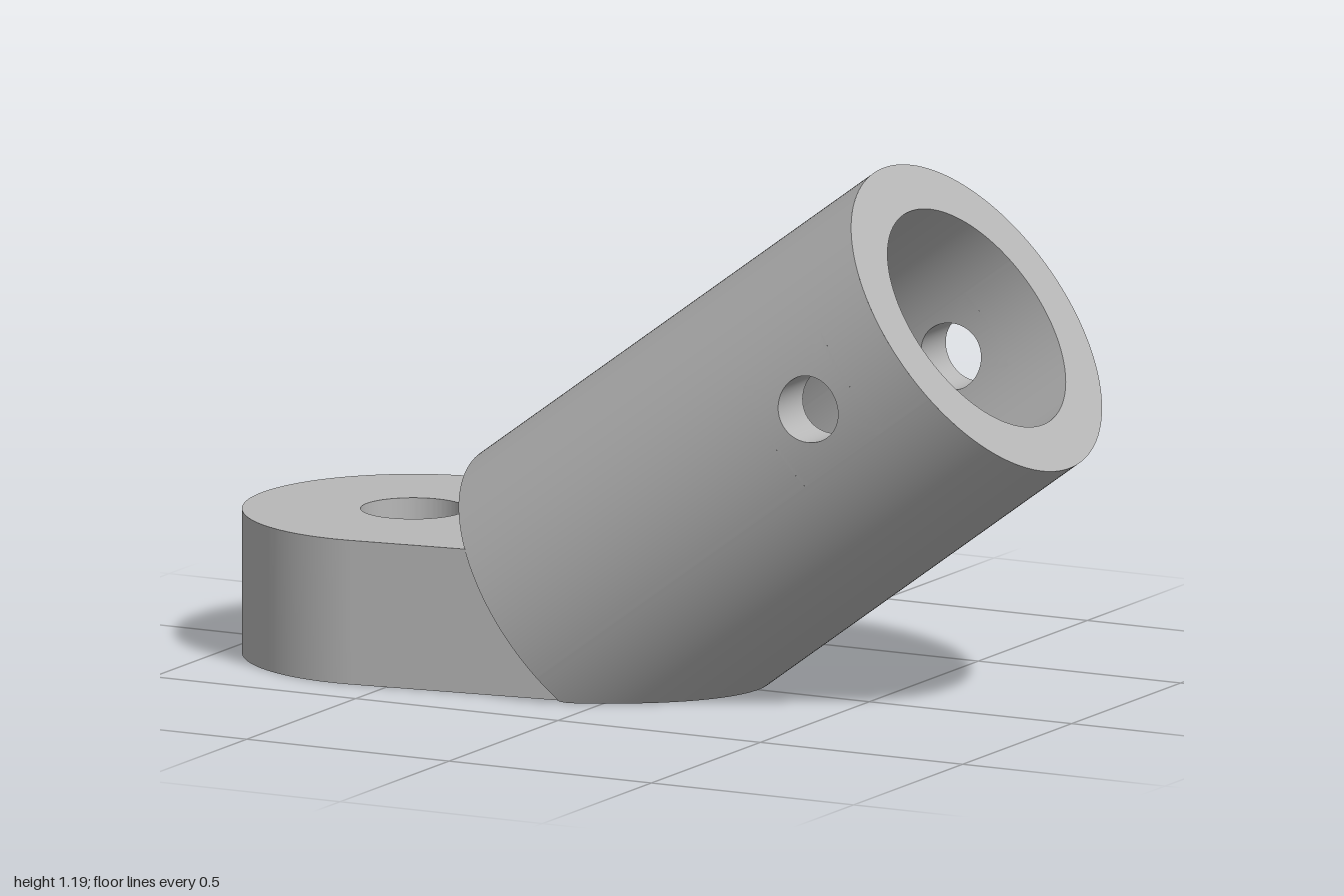
import * as THREE from 'three';
import { toCreasedNormals } from 'three/addons/utils/BufferGeometryUtils.js';

const TILT = 0.635;                    // slope of the socket
const LEN = 1.205, R = 0.387, BORE = 0.275, BORE_DEPTH = 0.9;
const CX = -0.205, CY = 0.1635;        // centre of the lower end
const PIN_A = 0.945, PIN_R = 0.074;    // cross hole position and radius
const PATCH_A = 0.12, PATCH_T = 0.35;  // half size of the wall patch around the cross hole

// Surface from a rule f(u, v) with u, v in 0..1
function surface(f, nu, nv, flip = false) {
  const pos = [], idx = [];
  for (let i = 0; i <= nu; i++) for (let j = 0; j <= nv; j++) pos.push(...f(i / nu, j / nv));
  for (let i = 0; i < nu; i++) for (let j = 0; j < nv; j++) {
    const a = i * (nv + 1) + j, b = a + nv + 1;
    if (flip) idx.push(a, b + 1, b, a, a + 1, b + 1);
    else idx.push(a, b, b + 1, a, b + 1, a + 1);
  }
  const g = new THREE.BufferGeometry();
  g.setAttribute('position', new THREE.Float32BufferAttribute(pos, 3));
  g.setIndex(idx);
  g.computeVertexNormals();
  return g;
}

const mix = THREE.MathUtils.lerp;
const onTube = (r, a, t) => [a, r * Math.sin(t), r * Math.cos(t)];

// Where the outer wall starts: the square end, or the flat cut at ground level
const cutStart = (t) => Math.max(0, -(CY + R * Math.sin(t) * Math.cos(TILT)) / Math.sin(TILT));

// Point on the rim of a cross hole
function pinRim(r, side, psi) {
  const t = side + Math.asin(PIN_R * Math.sin(psi) / r);
  return [PIN_A + PIN_R * Math.cos(psi), t];
}

export function createModel() {
  const grey = new THREE.MeshStandardMaterial({ color: 0xb8b8b8 });
  grey.name = 'grey';
  const model = new THREE.Group();
  model.name = 'angledSocketBracket';

  const add = (parent, name, geometry) => {
    const mesh = new THREE.Mesh(geometry, grey);
    mesh.name = name;
    parent.add(mesh);
  };

  // Flat lug with a bolt hole, tapering towards the socket
  const lugX = -0.627, lugR = 0.373, taper = 0.13, endX = -0.08;
  const tx = lugX + lugR * Math.sin(taper), tz = lugR * Math.cos(taper);
  const endZ = tz - (endX - tx) * Math.tan(taper);
  const outline = new THREE.Shape();
  outline.moveTo(endX, -endZ);
  outline.lineTo(endX, endZ);
  outline.lineTo(tx, tz);
  outline.absarc(lugX, 0, lugR, Math.PI / 2 - taper, Math.PI * 1.5 + taper, false);
  outline.closePath();
  const bolt = new THREE.Path();
  bolt.absarc(lugX, 0, 0.115, 0, Math.PI * 2, true);
  outline.holes.push(bolt);
  const lug = new THREE.ExtrudeGeometry(outline, { depth: 0.32, bevelEnabled: false, curveSegments: 64 });
  lug.rotateX(-Math.PI / 2);
  add(model, 'lug', toCreasedNormals(lug, 0.5));

  // Tilted socket, built along its own x axis
  const socket = new THREE.Group();
  socket.name = 'socket';
  socket.position.set(CX, CY, 0);
  socket.rotation.z = TILT;
  model.add(socket);

  // Outer wall and bore, each leaving room for the two cross holes
  const walls = [
    ['outerWall', R, cutStart, false],
    ['boreWall', BORE, () => LEN - BORE_DEPTH, true],
  ];
  for (const [name, r, start, flip] of walls) {
    const panel = (t0, t1, a0, a1, n) => add(socket, name, surface((u, v) => {
      const t = mix(t0, t1, v);
      return onTube(r, mix(a0(t), a1(t), u), t);
    }, 4, n, flip));
    const top = () => LEN;
    for (const side of [0, Math.PI]) {
      panel(side + PATCH_T, side + Math.PI - PATCH_T, start, top, 64);
      panel(side - PATCH_T, side + PATCH_T, start, () => PIN_A - PATCH_A, 16);
      panel(side - PATCH_T, side + PATCH_T, () => PIN_A + PATCH_A, top, 16);
      // Patch running from the round rim to a square border
      add(socket, name + 'Patch', surface((u, v) => {
        const psi = v * Math.PI * 2, c = Math.cos(psi), s = Math.sin(psi);
        const m = Math.max(Math.abs(c), Math.abs(s));
        const [a, t] = pinRim(r, side, psi);
        return onTube(r, mix(a, PIN_A + PATCH_A * c / m, u), mix(t, side + PATCH_T * s / m, u));
      }, 6, 64, flip));
    }
  }

  // Inside faces of the cross holes
  for (const side of [0, Math.PI]) {
    add(socket, 'pinHole', surface((u, v) => {
      const psi = v * Math.PI * 2;
      const p = onTube(BORE, ...pinRim(BORE, side, psi));
      const q = onTube(R, ...pinRim(R, side, psi));
      return p.map((x, i) => mix(x, q[i], u));
    }, 1, 64));
  }

  // Open rim and bottom of the bore
  const ring = (r0, r1, a) => surface((u, v) => onTube(mix(r0, r1, u), a, v * Math.PI * 2), 1, 128, true);
  add(socket, 'rim', ring(BORE, R, LEN));
  add(socket, 'boreFloor', ring(0, BORE, LEN - BORE_DEPTH));

  // Square lower end and the flat underside
  const corner = Math.asin(-CY / (R * Math.cos(TILT)));
  const cap = (t0, t1) => surface((u, v) => {
    const t = mix(t0, t1, u);
    return [cutStart(t), R * Math.sin(t), R * Math.cos(t) * mix(-1, 1, v)];
  }, 40, 1, true);
  add(socket, 'lowerEnd', cap(corner, Math.PI / 2));
  add(socket, 'underside', cap(-Math.PI / 2, corner));

  return model;
}
